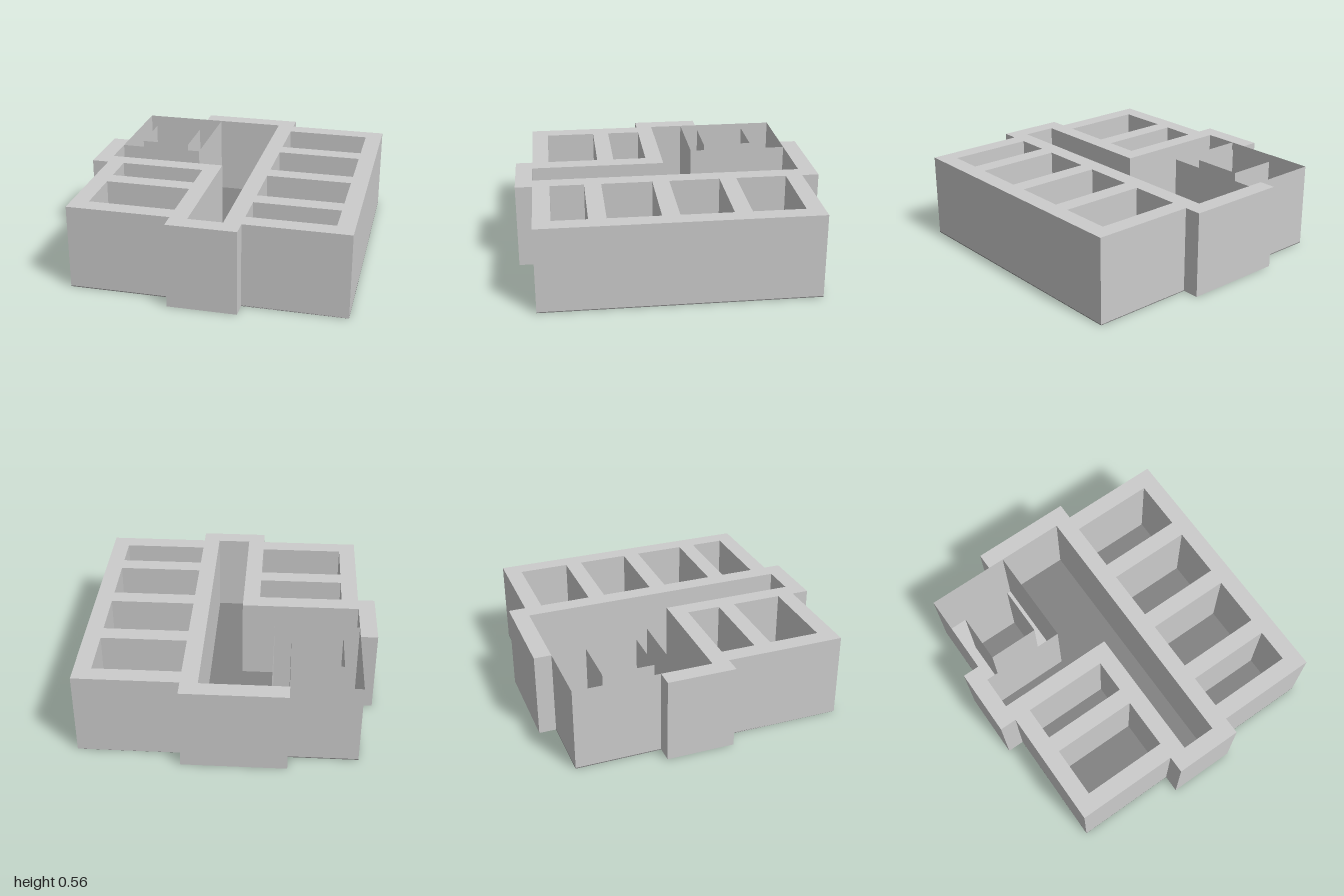
import * as THREE from 'three';

const U = 1 / 9; // one wall thickness; plans below are given in this unit
const HEIGHT = 5 * U;
const SLAB = 0.006;

// Rectangle corners on the plan, as [x, z]
const rect = (x0, x1, z0, z1) => [[x0, z0], [x1, z0], [x1, z1], [x0, z1]];
const toPoints = (pts) => pts.map(([x, z]) => new THREE.Vector2(x * U, -z * U));

// Holes run the opposite way round to the outline so their walls face inwards
function planShape(outline, holes) {
  const shape = new THREE.Shape(toPoints(outline));
  holes.forEach((h) => shape.holes.push(new THREE.Path(toPoints(h).reverse())));
  return shape;
}

function addMesh(parent, name, geometry, material) {
  const mesh = new THREE.Mesh(geometry, material);
  mesh.name = name;
  parent.add(mesh);
  return mesh;
}

// Four upright sheets around a rectangle, open above and below
function addOpenBox(parent, name, outline, material) {
  const box = new THREE.Group();
  box.name = name;
  outline.forEach(([x, z], i) => {
    const [nx, nz] = outline[(i + 1) % 4];
    const width = Math.hypot(nx - x, nz - z) * U;
    const sheet = addMesh(box, 'sheet', new THREE.PlaneGeometry(width, HEIGHT), material);
    sheet.position.set((x + nx) * U / 2, HEIGHT / 2, (z + nz) * U / 2);
    sheet.rotation.y = Math.atan2(z - nz, nx - x) + Math.PI;
  });
  parent.add(box);
}

export function createModel() {
  const model = new THREE.Group();
  model.name = 'floorPlan';
  const wall = new THREE.MeshStandardMaterial({ color: 0xcccccc, flatShading: true });
  const sheet = new THREE.MeshStandardMaterial({ color: 0xcccccc, flatShading: true, side: THREE.DoubleSide });
  const floor = new THREE.MeshStandardMaterial({ color: 0x828282 });

  // Floor slab
  const slab = addMesh(model, 'floor', new THREE.BoxGeometry(16 * U, SLAB, 16 * U), floor);
  slab.position.set(0.5 * U, SLAB / 2, 0);

  // Walls: one outline that wraps around the corridor, with the rooms as holes
  const outline = [
    [-3.5, -9], [2.5, -9], [2.5, -8], [8.5, -8], [8.5, 8],
    [2.5, 8], [2.5, 9], [-1.5, 9], [-1.5, 8], [-7.5, 8],
    [-7.5, 1], [-8.5, 1], [-8.5, -3], [-7.5, -3],
    [-7.5, 0], [-0.5, 0], [-0.5, 8], [1.5, 8], [1.5, -8], [-3.5, -8],
  ];
  const rooms = [
    rect(2.5, 7.5, -7, -4),
    rect(2.5, 7.5, -3, 0),
    rect(2.5, 7.5, 1, 4),
    rect(2.5, 7.5, 5, 7),
    rect(-6.5, -1.5, 1, 3),
    rect(-6.5, -1.5, 4, 7),
  ];
  const walls = new THREE.ExtrudeGeometry(planShape(outline, rooms), { depth: HEIGHT - 0.001, bevelEnabled: false });
  walls.rotateX(-Math.PI / 2);
  addMesh(model, 'walls', walls, wall).position.y = 0.001;

  // Corner room: hollow outer shell, inner shaft, and the base between them
  const shell = rect(-7.5, -2.5, -8, -2);
  const shaft = rect(-6.5, -3.5, -6, -3);
  const corner = new THREE.Group();
  corner.name = 'cornerRoom';
  model.add(corner);
  addOpenBox(corner, 'outerShell', shell, sheet);
  addOpenBox(corner, 'innerShaft', shaft, sheet);
  const base = new THREE.ShapeGeometry(planShape(shell, [shaft]));
  base.rotateX(-Math.PI / 2);
  addMesh(corner, 'base', base, sheet).position.y = SLAB + 0.004;

  return model;
}
